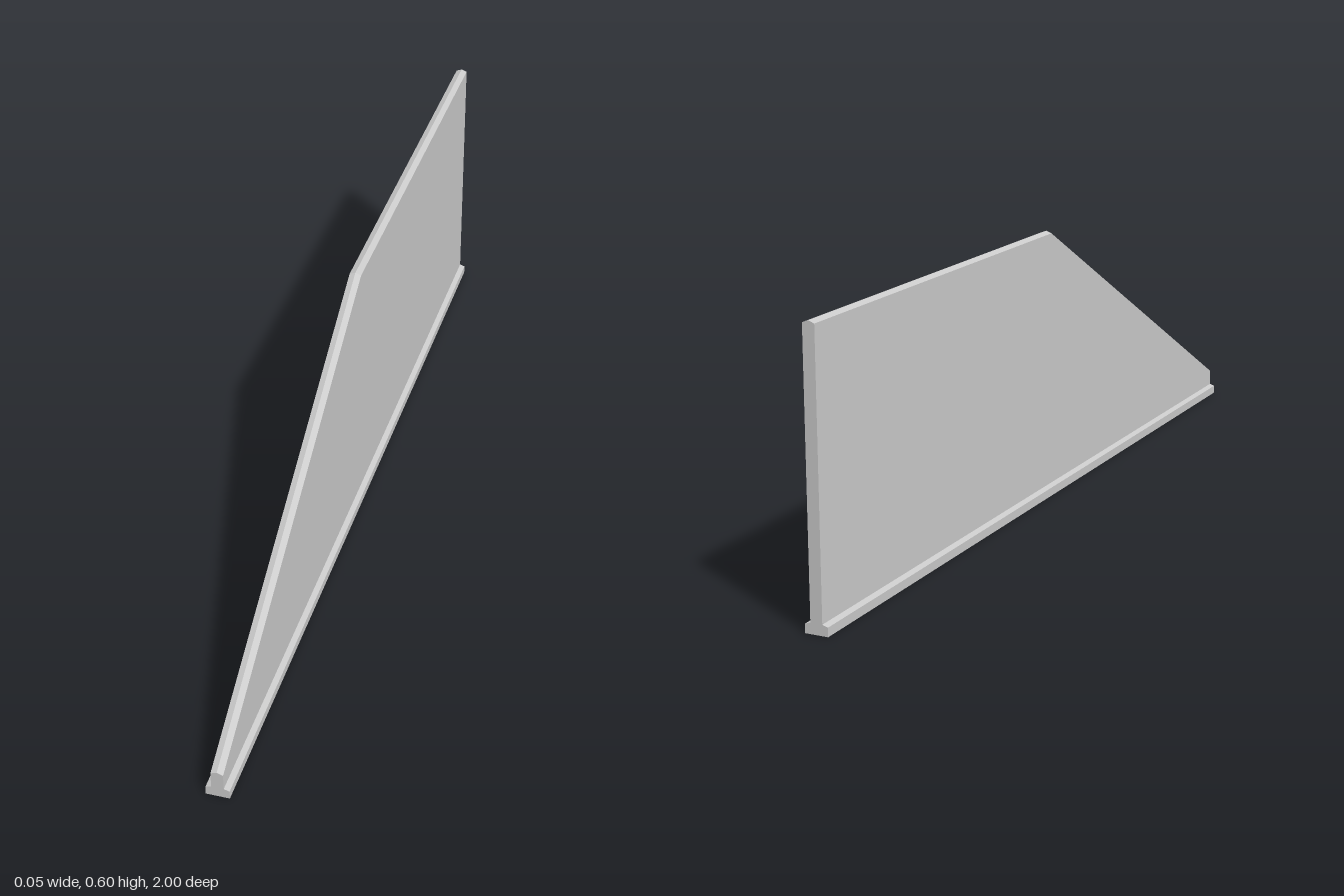
import * as THREE from 'three';

const FLOOR = 0.012; // height of the pocket ceiling in the underside

// Half outline of the panel for a given shoulder height, mirrored into a closed ring
function section(top) {
  const half = [[0.025, FLOOR], [0.025, 0.019], [0.013, 0.023], [0.013, top], [0, top + 0.005]];
  const mirrored = half.slice(0, -1).reverse().map(([x, y]) => [-x, y]);
  return [...half, ...mirrored];
}

// Flat-shaded loft through rings ordered from back to front, with end caps
function loft(stations) {
  const rings = stations.map(({ z, top }) => section(top).map(([x, y]) => [x, y, z]));
  const pos = [];
  const tri = (a, b, c) => pos.push(...a, ...b, ...c);
  const n = rings[0].length;
  for (let s = 0; s < rings.length - 1; s++) {
    for (let i = 0; i < n; i++) {
      const j = (i + 1) % n, a = rings[s], b = rings[s + 1];
      tri(a[i], a[j], b[j]);
      tri(a[i], b[j], b[i]);
    }
  }
  const faces = THREE.ShapeUtils.triangulateShape(section(0.6).map(([x, y]) => new THREE.Vector2(x, y)), []);
  const back = rings[0], front = rings[rings.length - 1];
  for (const [a, b, c] of faces) {
    tri(front[a], front[b], front[c]);
    tri(back[a], back[c], back[b]);
  }
  const geo = new THREE.BufferGeometry();
  geo.setAttribute('position', new THREE.Float32BufferAttribute(pos, 3));
  geo.computeVertexNormals();
  return geo;
}

function rectangle(Type, x, y0, y1) {
  const r = new Type();
  r.moveTo(-x, y0);
  r.lineTo(x, y0);
  r.lineTo(x, y1);
  r.lineTo(-x, y1);
  r.closePath();
  return r;
}

export function createModel() {
  const group = new THREE.Group();
  const material = new THREE.MeshStandardMaterial({ color: 0xcccccc, flatShading: true });

  // Upright panel with ridged top: level behind, sloping down to the front
  const panel = new THREE.Mesh(loft([
    { z: -1, top: 0.599 },
    { z: 0, top: 0.599 },
    { z: 1, top: 0.059 },
  ]), material);
  panel.name = 'panel';
  group.add(panel);

  // Foot rim with two long pockets separated by a middle rib
  const outline = rectangle(THREE.Shape, 0.025, -1, 1);
  outline.holes.push(
    rectangle(THREE.Path, 0.013, -0.98, -0.013),
    rectangle(THREE.Path, 0.013, 0.013, 0.98),
  );
  const rimGeo = new THREE.ExtrudeGeometry(outline, { depth: FLOOR, bevelEnabled: false });
  rimGeo.rotateX(-Math.PI / 2);
  const rim = new THREE.Mesh(rimGeo, material);
  rim.name = 'footRim';
  group.add(rim);

  return group;
}
